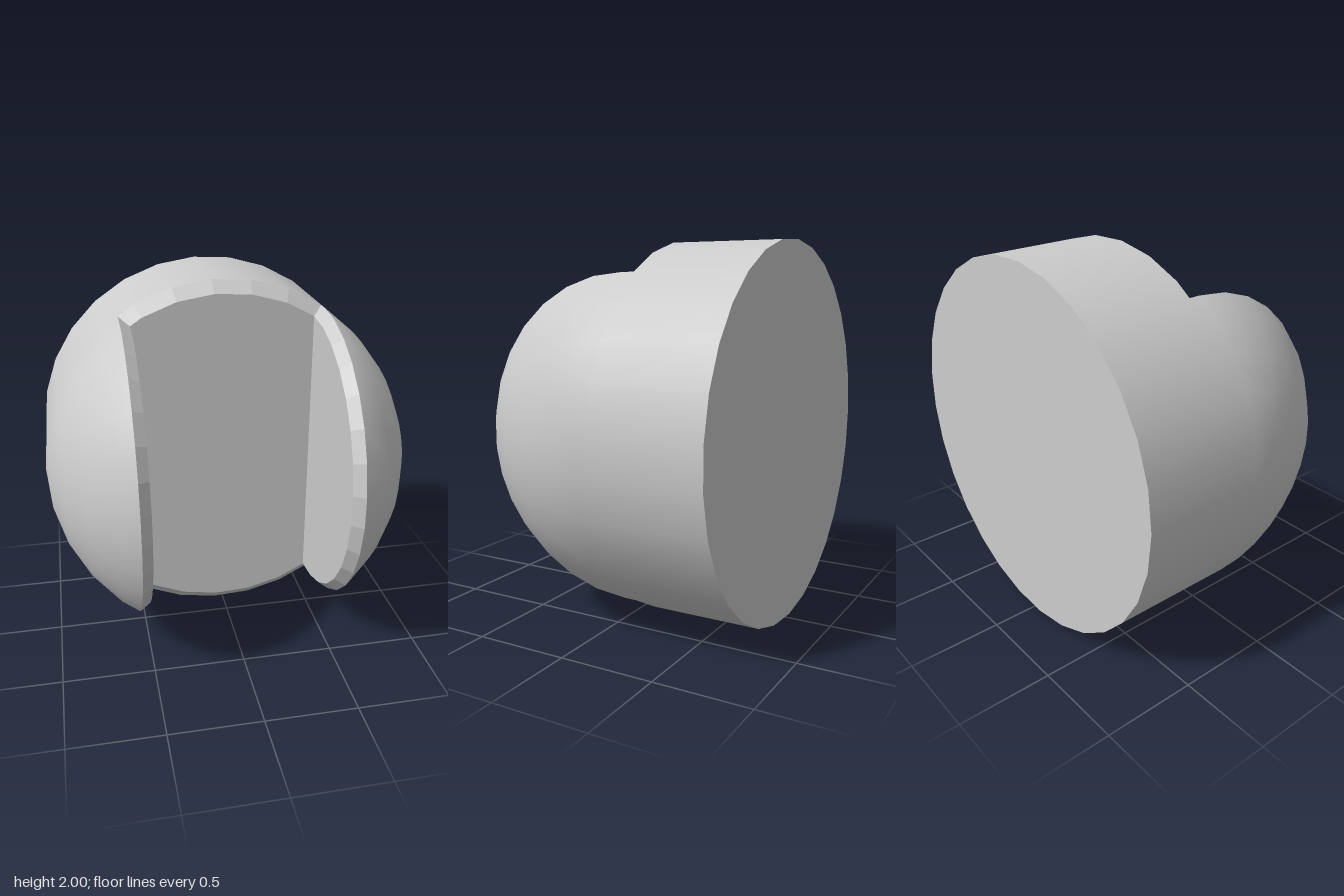
import * as THREE from 'three';

const SIDES = 29, STEP = (2 * Math.PI) / SIDES, ARC = 15;
const BACK = -0.75, SHOULDER = -0.145, FLOOR = -0.082; // z levels
const OUTER = 0.557, INNER = 0.5, BEVEL = 0.935; // slot half widths, floor bevel scale
const CY = 1; // height of the axis

const V = (x, y, z) => new THREE.Vector3(x, y, z);

// Upper half of the rim polygon, from -x to +x
const rim = Array.from({ length: 15 }, (_, k) => [-Math.cos(k * STEP), Math.sin(k * STEP)]);

// Height of the rim polygon at a given x
function rimY(x) {
  const i = rim.findIndex((p) => p[0] >= x);
  const [a, b] = [rim[i - 1], rim[i]];
  return a[1] + ((b[1] - a[1]) * (x - a[0])) / (b[0] - a[0]);
}

// Skin between rows of points; faces are turned towards outward(p)
function patch(rows, outward, smooth = false) {
  const pos = [], nor = [];
  const tri = (a, b, c) => {
    const n = b.clone().sub(a).cross(c.clone().sub(a));
    if (n.length() < 1e-9) return;
    const mid = a.clone().add(b).add(c).divideScalar(3);
    const flip = n.dot(outward(mid)) < 0;
    n.normalize().multiplyScalar(flip ? -1 : 1);
    for (const p of flip ? [a, c, b] : [a, b, c]) {
      pos.push(p.x, p.y, p.z);
      nor.push(...(smooth ? outward(p).normalize() : n).toArray());
    }
  };
  for (let i = 0; i + 1 < rows.length; i++) {
    for (let j = 0; j + 1 < rows[i].length; j++) {
      const [a, b, c, d] = [rows[i][j], rows[i][j + 1], rows[i + 1][j + 1], rows[i + 1][j]];
      tri(a, b, c);
      tri(a, c, d);
    }
  }
  const g = new THREE.BufferGeometry();
  g.setAttribute('position', new THREE.Float32BufferAttribute(pos, 3));
  g.setAttribute('normal', new THREE.Float32BufferAttribute(nor, 3));
  return g;
}

export function createModel() {
  const model = new THREE.Group();
  model.name = 'slottedRoundHead';
  const grey = new THREE.MeshStandardMaterial({ color: 0xcccccc, side: THREE.DoubleSide });
  grey.name = 'plainGrey';
  const add = (name, geometry) => {
    const mesh = new THREE.Mesh(geometry, grey);
    mesh.name = name;
    model.add(mesh);
  };

  const radial = (p) => V(p.x, p.y - CY, 0);
  const spherical = (p) => V(p.x, p.y - CY, p.z - FLOOR);
  const facing = (x, z) => () => V(x, 0, z);

  // Cylindrical body and flat back
  const ring = (z) => Array.from({ length: SIDES + 1 }, (_, k) =>
    V(-Math.cos(k * STEP), CY + Math.sin(k * STEP), z));
  add('barrel', patch([ring(BACK), ring(SHOULDER)], radial, true));
  add('backFace', patch([ring(BACK), ring(BACK).map(() => V(0, CY, BACK))], facing(0, -1)));

  // Slot floor with bevelled upper and lower edges
  const innerY = (x) => BEVEL * rimY(x / BEVEL);
  const middle = rim.filter((p) => Math.abs(p[0]) < OUTER);
  const edge = [[-OUTER, rimY(-OUTER)], ...middle, [OUTER, rimY(OUTER)]];
  const inset = [[-INNER, innerY(-INNER)],
    ...middle.map((p) => [p[0] * BEVEL, p[1] * BEVEL]), [INNER, innerY(INNER)]];
  const line = (pts, s, z) => pts.map(([x, y]) => V(x, CY + s * y, z));
  add('slotFloor', patch([line(inset, 1, FLOOR), line(inset, -1, FLOOR)], facing(0, 1)));
  for (const s of [1, -1]) {
    add(s > 0 ? 'upperFloorBevel' : 'lowerFloorBevel',
      patch([line(edge, s, SHOULDER), line(inset, s, FLOOR)], facing(0, 1)));
  }

  // Rounded lobes on both sides of the slot
  for (const s of [1, -1]) {
    const side = s > 0 ? 'left' : 'right';
    const outerR = rimY(s * OUTER), innerR = innerY(s * INNER);
    const profile = [[s * OUTER, outerR], ...rim.filter((p) => p[0] * s > OUTER)
      .sort((a, b) => s * (a[0] - b[0]))];

    // Half circle around the x axis, from top over the front to the bottom
    const arc = (x, r) => Array.from({ length: ARC + 1 }, (_, j) => {
      const t = (Math.PI * j) / ARC;
      return V(x, CY + r * Math.cos(t), FLOOR + r * Math.sin(t));
    });

    const outline = (z) => [...line(profile, 1, z), ...line(profile, -1, z).reverse()];
    add(side + 'Collar', patch([outline(SHOULDER), outline(FLOOR)], radial, true));

    const pole = [profile[profile.length - 1][0], 0];
    add(side + 'Dome', patch([...profile, pole].map(([x, r]) => arc(x, r)), spherical, true));

    const inner = arc(s * INNER, innerR), outer = arc(s * OUTER, outerR);
    add(side + 'SlotWall',
      patch([inner, inner.map(() => V(s * INNER, CY, FLOOR))], facing(-s, 0)));

    // Wall bevel, running down to meet the floor bevel at a mitre
    const innerRow = [inner[0], ...inner, inner[ARC]];
    const outerRow = [V(s * OUTER, CY + outerR, SHOULDER), ...outer,
      V(s * OUTER, CY - outerR, SHOULDER)];
    add(side + 'WallBevel', patch([innerRow, outerRow], facing(-s, 0)));
  }
  return model;
}
